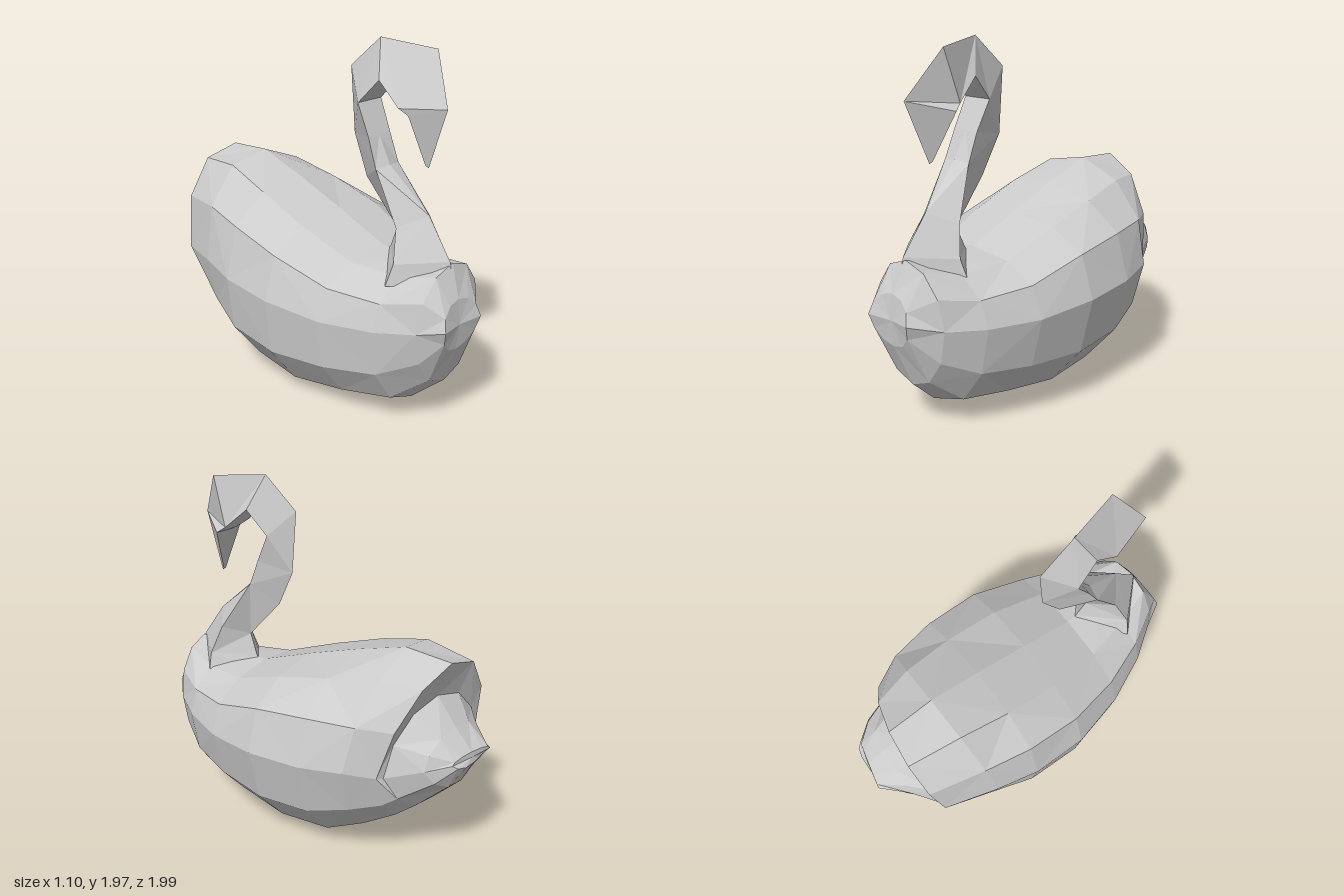
import * as THREE from 'three';

const material = new THREE.MeshStandardMaterial({ color: 0xcccccc, flatShading: true });

// Skin a list of equal-length rings, with both ends closed by fans
function loft(name, rings) {
  const pos = [];
  const tri = (a, b, c) => pos.push(...a, ...b, ...c);
  const n = rings[0].length;
  const centre = (r) => [0, 1, 2].map((k) => r.reduce((s, p) => s + p[k], 0) / n);
  for (let i = 0; i < rings.length - 1; i++) {
    for (let j = 0; j < n; j++) {
      const k = (j + 1) % n;
      const a = rings[i][j], b = rings[i][k], c = rings[i + 1][j], d = rings[i + 1][k];
      // alternate the diagonals for a faceted skin
      if ((i + j) % 2) { tri(a, b, c); tri(b, d, c); }
      else { tri(a, b, d); tri(a, d, c); }
    }
  }
  const first = rings[0], last = rings[rings.length - 1];
  const c0 = centre(first), c1 = centre(last);
  for (let j = 0; j < n; j++) {
    const k = (j + 1) % n;
    tri(c0, first[k], first[j]);
    tri(c1, last[j], last[k]);
  }
  const g = new THREE.BufferGeometry();
  g.setAttribute('position', new THREE.Float32BufferAttribute(pos, 3));
  g.computeVertexNormals();
  const mesh = new THREE.Mesh(g, material);
  mesh.name = name;
  return mesh;
}

// Body section: an oval whose top, middle and bottom can lie at different z.
// A square value below 1 flattens the back; bulge fills the belly towards -x.
function bodyRing({ z, y, hw, cx = 0, square = 1, bulge = 0, shear = 0, tilt = 0 }) {
  const n = 12, ring = [];
  const [zTop, zMid, zBot] = Array.isArray(z) ? z : [z, z, z];
  const [bot, mid, top] = y;
  for (let j = 0; j < n; j++) {
    const a = (j / n) * Math.PI * 2, s = Math.sin(a), c = Math.cos(a);
    const up = Math.max(c, 0), down = Math.max(-c, 0);
    const x = cx + hw * s;
    ring.push([
      x - bulge * down * (j > 5 ? 1 : 0),
      mid + up ** square * (top - mid) - down * (mid - bot) - tilt * x * up,
      zMid + up * (zTop - zMid) + down * (zBot - zMid) + shear * x * (1 - down),
    ]);
  }
  return ring;
}

// Neck section: inner and outer profile points, plus a side pair placed a
// fraction t of the way from inner to outer (0 gives a triangle)
function neckRing([zi, yi, zo, yo, hw, cx, t, outerX]) {
  const z = zi + t * (zo - zi), y = yi + t * (yo - yi);
  return [[cx, yi, zi], [cx + hw, y, z], [outerX, yo, zo], [cx - hw, y, z]];
}

export function createModel() {
  const swan = new THREE.Group();
  swan.name = 'swan';

  // Breast, folded wings with an undercut rear edge, and the tail below them
  swan.add(loft('bodyWingsAndTail', [
    { z: [0.96, 1.0, 0.96], y: [0.48, 0.63, 0.76], hw: 0.14, cx: -0.03 },
    { z: [0.89, 0.87, 0.87], y: [0.25, 0.6, 0.92], hw: 0.24 },
    { z: 0.69, y: [0.09, 0.59, 0.87], hw: 0.36, bulge: 0.04 },
    { z: 0.42, y: [0.05, 0.59, 0.88], hw: 0.475, square: 0.8, bulge: 0.07 },
    { z: 0.1, y: [0.0, 0.62, 1.0], hw: 0.55, square: 0.7, bulge: 0.08 },
    { z: -0.22, y: [0.03, 0.64, 1.11], hw: 0.545, square: 0.8, bulge: 0.07, tilt: 0.07 },
    { z: [-0.52, -0.46, -0.44], y: [0.15, 0.66, 1.2], hw: 0.49, bulge: 0.04, tilt: 0.13 },
    // wing rear edge
    { z: [-0.79, -0.68, -0.6], y: [0.26, 0.63, 1.18], hw: 0.39, shear: 0.2, tilt: 0.1 },
    // recess between the wings and the tail
    { z: [-0.72, -0.69, -0.73], y: [0.37, 0.62, 0.98], hw: 0.35, shear: 0.2 },
    // tail
    { z: [-0.85, -0.84, -0.9], y: [0.55, 0.69, 0.85], hw: 0.25, cx: 0.03, shear: 0.1 },
    { z: [-0.97, -0.97, -0.97], y: [0.69, 0.72, 0.75], hw: 0.14, cx: 0.05, shear: 0.25 },
  ].map(bodyRing)));

  // Neck and head: inner z, y, outer z, y, half width, centre x, t, outer x
  swan.add(loft('neckAndHead', [
    [0.92, 0.8, 0.42, 0.8, 0.23, -0.02, 0.5, 0],
    [0.89, 0.93, 0.48, 0.89, 0.19, -0.02, 0.5, 0],
    [0.74, 1.13, 0.53, 1.01, 0.13, -0.01, 0.5, -0.01],
    [0.5, 1.35, 0.32, 1.24, 0.085, -0.045, 0.1, -0.02],
    [0.42, 1.49, 0.21, 1.45, 0.08, -0.04, 0, 0],
    [0.34, 1.65, 0.18, 1.8, 0.085, -0.03, 0, 0],
    [0.46, 1.78, 0.38, 1.97, 0.085, -0.01, 0, 0],
    [0.59, 1.65, 0.68, 1.94, 0.1, 0, 0.05, 0.08],
    [0.63, 1.63, 0.84, 1.69, 0.1, 0.02, 0.05, -0.03],
    [0.7, 1.38, 0.715, 1.37, 0.008, 0, 0, 0],
  ].map(neckRing)));

  return swan;
}
